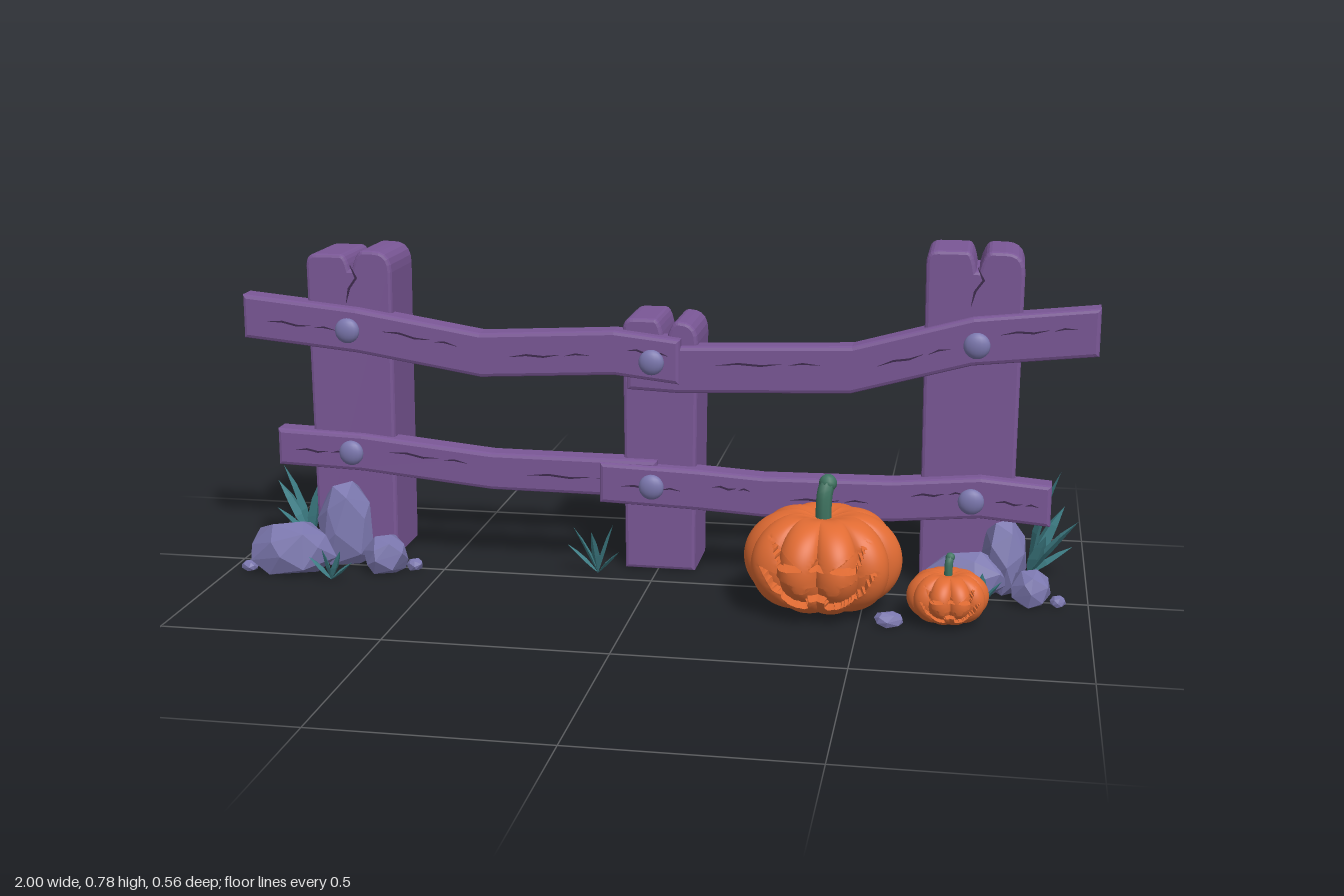
import * as THREE from 'three';
import { toCreasedNormals } from 'three/addons/utils/BufferGeometryUtils.js';
import { ConvexGeometry } from 'three/addons/geometries/ConvexGeometry.js';

const mat = (name, color) => {
  const m = new THREE.MeshStandardMaterial({ color });
  m.name = name;
  return m;
};
const wood = mat('purple wood', 0x7a5796);
const crackDark = mat('dark crack', 0x3d2a4d);
const stone = mat('blue violet stone', 0x7b77ae);
const orange = mat('pumpkin orange', 0xe06b33);
const leafTeal = mat('leaf teal', 0x3d7c84);
const stemGreen = mat('stem green', 0x3f7461);

function mesh(parent, name, geo, material, x = 0, y = 0, z = 0) {
  const m = new THREE.Mesh(geo, material);
  m.name = name;
  m.position.set(x, y, z);
  parent.add(m);
  return m;
}

const flat = (geo) => {
  const g = geo.index ? geo.toNonIndexed() : geo;
  g.computeVertexNormals();
  return g;
};

// Solid with softened edges from an outline in x/y, spanning z0 to z1
function slab(shape, z0, z1, b = 0.009) {
  return new THREE.ExtrudeGeometry(shape, {
    depth: z1 - z0 - 2 * b, bevelEnabled: true, bevelThickness: b, bevelSize: b,
    bevelOffset: -b, bevelSegments: 2, curveSegments: 5,
  }).translate(0, 0, z0 + b);
}

// Outline of a band of given height around a centre line
function band(pts, height) {
  const h = height / 2;
  const top = pts.map(([x, y]) => new THREE.Vector2(x, y + h));
  const bottom = pts.map(([x, y]) => new THREE.Vector2(x, y - h)).reverse();
  return new THREE.Shape([...bottom, ...top].reverse());
}

// Thin jagged crack, tapering to a point at each end
function crack(parent, pts, w, z, vertical = false) {
  const side = (s) => pts.map(([x, y], i) => {
    const k = i === 0 || i === pts.length - 1 ? 0.1 * w * s : w * s;
    return new THREE.Vector2(x + (vertical ? k : 0), y + (vertical ? 0 : k));
  });
  const shape = new THREE.Shape([...side(1), ...side(-1).reverse()]);
  mesh(parent, 'crack', new THREE.ExtrudeGeometry(shape, { depth: 0.003, bevelEnabled: false }), crackDark, 0, 0, z);
}

// Post with rounded shoulders and a split top
function post(parent, name, l, r, notch, hl, hr) {
  const s = new THREE.Shape();
  s.moveTo(l + 0.006, 0);
  s.lineTo(r - 0.004, 0);
  s.lineTo(r, hr - 0.05);
  s.quadraticCurveTo(r, hr, r - 0.045, hr);
  s.lineTo(notch + 0.03, hr);
  s.quadraticCurveTo(notch + 0.014, hr, notch + 0.003, hr - 0.045);
  s.lineTo(notch - 0.003, hr - 0.045);
  s.quadraticCurveTo(notch - 0.01, hl, notch - 0.025, hl);
  s.lineTo(l + 0.025, hl);
  s.quadraticCurveTo(l, hl, l, hl - 0.03);
  mesh(parent, name, slab(s, -0.27, -0.092, 0.008), wood);
  const y = hr - 0.035;
  crack(parent, [[notch, y], [notch + 0.014, y - 0.03], [notch - 0.004, y - 0.055], [notch - 0.012, y - 0.09]], 0.003, -0.093, true);
}

// Rail with a broken grain line along its front
function rail(parent, name, pts, height, z0, z1) {
  mesh(parent, name, slab(band(pts, height), z0, z1), wood);
  for (let i = 0; i < pts.length - 1; i++) {
    const [a, b] = [pts[i], pts[i + 1]];
    const at = (t, o) => [a[0] + (b[0] - a[0]) * t, a[1] + (b[1] - a[1]) * t + o];
    const o = i % 2 ? 0.012 : -0.004;
    crack(parent, [at(0.22, o), at(0.35, o + 0.004), at(0.48, o - 0.001), at(0.6, o + 0.003)], 0.0022, z1 - 0.001);
    crack(parent, [at(0.64, o), at(0.72, o + 0.004), at(0.82, o)], 0.002, z1 - 0.001);
  }
}

// Chunky faceted rock standing on the ground
function makeRock(seed) {
  let s = seed * 7919 + 13;
  const rnd = () => (s = (s * 16807) % 2147483647) / 2147483647;
  const pts = [], n = 24;
  for (let i = 0; i < n; i++) {
    const y = 1 - (2 * i + 1) / n, q = Math.sqrt(1 - y * y), a = i * 2.39996 + rnd() * 0.5;
    const k = 0.93 + rnd() * 0.14;
    pts.push(new THREE.Vector3(Math.cos(a) * q * k, Math.max(0, (y + 0.6) / 1.56), Math.sin(a) * q * k));
  }
  return new ConvexGeometry(pts);
}

// Pointed leaf, one unit long, bending forward
const leafGeo = (() => {
  const profile = [[0, 0], [0.55, 0.15], [1, 0.42], [0.7, 0.72], [0, 1]].map((p) => new THREE.Vector2(...p));
  return new THREE.LatheGeometry(profile, 4);
})();
function clump(parent, name, x, z, leaves) {
  const g = new THREE.Group();
  g.name = name;
  g.position.set(x, 0, z);
  for (const [az, tilt, len, w] of leaves) {
    const geo = leafGeo.clone().scale(w, len, w * 0.35);
    const p = geo.attributes.position;
    for (let i = 0; i < p.count; i++) p.setZ(i, p.getZ(i) + 0.9 * p.getY(i) ** 2);
    mesh(g, 'leaf', flat(geo), leafTeal).rotation.set(tilt, az, 0, 'YXZ');
  }
  parent.add(g);
}

// Carved face outlines, as fractions of pumpkin radius and height
const H = 1.31;
const eye = [[-0.6, 0.8], [-0.15, 0.57], [-0.48, 0.54]];
const mouthHalf = [[0, 0.41], [0.12, 0.41], [0.14, 0.34], [0.28, 0.35], [0.3, 0.43], [0.42, 0.45], [0.74, 0.55],
  [0.56, 0.3], [0.3, 0.19], [0.1, 0.16], [0.1, 0.25], [0, 0.25]];
const flip = (pts) => pts.map(([x, y]) => [-x, y]).reverse();
const carvings = [eye, flip(eye), [[0, 0.68], [0.1, 0.56], [-0.1, 0.56]], [...mouthHalf, ...flip(mouthHalf)]]
  .map((poly) => poly.map(([x, y]) => [x, y * H]));

// Nearest outline point, its distance, and whether the point is inside
function probe(poly, x, y) {
  let best = { d: Infinity }, inside = false;
  poly.forEach(([ax, ay], i) => {
    const [bx, by] = poly[(i + 1) % poly.length], dx = bx - ax, dy = by - ay;
    const t = Math.min(1, Math.max(0, ((x - ax) * dx + (y - ay) * dy) / (dx * dx + dy * dy || 1)));
    const px = ax + t * dx, py = ay + t * dy, d = Math.hypot(x - px, y - py);
    if (d < best.d) best = { d, px, py };
    if ((ay > y) !== (by > y) && x < ax + ((y - ay) / dy) * dx) inside = !inside;
  });
  return { ...best, inside };
}

// Ribbed pumpkin of unit radius with its face sunk into the front
function pumpkinGeometry() {
  const geo = new THREE.SphereGeometry(1, 180, 80), p = geo.attributes.position;
  for (let i = 0; i < p.count; i++) {
    const a = Math.atan2(p.getZ(i), p.getX(i)), c = p.getY(i);
    const s = Math.pow(Math.max(0, 1 - c * c), 0.38);
    const r = s * (0.85 + 0.15 * Math.pow(Math.abs(Math.cos(5 * a)), 0.75));
    let x = r * Math.cos(a), z = r * Math.sin(a);
    let y = (H / 2) * (1 + c) - Math.sign(c) * 0.14 * Math.exp(-((s / 0.35) ** 2));
    if (z > 0.2) for (const poly of carvings) {
      const hit = probe(poly, x, y);
      if (hit.d < 0.016) [x, y] = [hit.px, hit.py];
      else if (hit.inside) z -= 0.2;
    }
    p.setXYZ(i, x, y, z);
  }
  return toCreasedNormals(geo, 0.6);
}

function pumpkin(parent, name, geo, radius, x, z, turn) {
  const g = new THREE.Group();
  g.name = name;
  g.position.set(x, 0, z);
  g.rotation.y = turn;
  g.scale.setScalar(radius);
  mesh(g, 'carvedShell', geo, orange);
  const path = new THREE.CatmullRomCurve3([[0, 1.1, 0], [0, 1.35, 0], [0.01, 1.5, -0.02], [0.04, 1.62, -0.08]]
    .map((q) => new THREE.Vector3(...q)));
  mesh(g, 'stem', new THREE.TubeGeometry(path, 10, 0.1, 8), stemGreen);
  mesh(g, 'stemTip', new THREE.SphereGeometry(0.115, 10, 8), stemGreen, 0.04, 1.61, -0.08);
  parent.add(g);
}

export function createModel() {
  const root = new THREE.Group();
  root.name = 'pumpkinFence';

  // Fence
  post(root, 'rightPost', -0.85, -0.64, -0.74, 0.735, 0.745);
  post(root, 'middlePost', -0.085, 0.092, 0.015, 0.605, 0.6);
  post(root, 'leftPost', 0.61, 0.83, 0.725, 0.782, 0.782);
  rail(root, 'upperRightRail', [[-1, 0.585], [-0.72, 0.558], [-0.42, 0.51], [-0.1, 0.527], [0.055, 0.51]], 0.105, -0.127, -0.06);
  rail(root, 'upperLeftRail', [[-0.07, 0.495], [0.05, 0.49], [0.45, 0.505], [0.72, 0.58], [1, 0.61]], 0.11, -0.135, -0.07);
  rail(root, 'lowerRightRail', [[-0.93, 0.265], [-0.72, 0.258], [-0.4, 0.227], [0, 0.225]], 0.09, -0.133, -0.07);
  rail(root, 'lowerLeftRail', [[-0.135, 0.215], [0.1, 0.207], [0.25, 0.198], [0.55, 0.202], [0.75, 0.22], [0.91, 0.207]], 0.097, -0.125, -0.06);

  // Bolts
  const bolt = new THREE.SphereGeometry(0.03, 16, 12).scale(1, 1, 0.55);
  for (const [x, y] of [[-0.74, 0.56], [-0.01, 0.51], [0.73, 0.575], [-0.74, 0.262], [-0.01, 0.212], [0.73, 0.213]])
    mesh(root, 'bolt', bolt, stone, x, y, -0.055);

  // Rocks: x, z, half width, height, half depth
  [[-0.855, 0.06, 0.105, 0.12, 0.07], [-0.75, -0.03, 0.072, 0.2, 0.06], [-0.635, 0.03, 0.053, 0.09, 0.052],
    [-0.57, 0.01, 0.02, 0.028, 0.02], [-0.955, 0.08, 0.02, 0.025, 0.02], [0.73, -0.045, 0.095, 0.1, 0.05],
    [0.81, -0.082, 0.055, 0.172, 0.062], [0.87, 0.01, 0.046, 0.082, 0.048], [0.932, 0.02, 0.018, 0.026, 0.017],
    [0.565, 0.215, 0.034, 0.032, 0.026]].forEach(([x, z, w, h, d], i) =>
    mesh(root, 'rock', makeRock(i + 1).scale(w, h, d), stone, x, 0, z));

  // Plants: azimuth, tilt, length, half width
  clump(root, 'rightPlant', -0.89, -0.175, [[-1.5, 0.15, 0.2, 0.026], [-1.75, 0.4, 0.17, 0.024], [-1.3, 0.65, 0.12, 0.022], [1.2, 0.05, 0.16, 0.024]]);
  clump(root, 'leftPlant', 0.87, -0.205, [[1.6, 0.02, 0.255, 0.028], [1.3, 0.5, 0.18, 0.028], [2.1, 0.35, 0.18, 0.028], [0.7, 0.35, 0.12, 0.024], [1.7, 0.85, 0.12, 0.022]]);
  clump(root, 'middlePlant', -0.135, -0.04, [[-1.6, 0.75, 0.1, 0.012], [-1.2, 0.35, 0.13, 0.013], [-0.4, 0.15, 0.11, 0.012], [1.3, 0.2, 0.13, 0.013], [1.2, 0.7, 0.085, 0.011]]);
  clump(root, 'frontRightPlant', -0.74, 0.12, [[-1.5, 0.7, 0.075, 0.014], [-0.9, 0.2, 0.08, 0.014], [1.2, 0.3, 0.08, 0.014], [1.5, 0.8, 0.07, 0.013]]);
  clump(root, 'frontLeftPlant', 0.76, 0.04, [[-1.5, 0.6, 0.075, 0.014], [0.2, 0.1, 0.08, 0.014], [1.4, 0.6, 0.075, 0.014]]);

  // Pumpkins
  const shell = pumpkinGeometry();
  pumpkin(root, 'largePumpkin', shell, 0.177, 0.41, 0.115, 0);
  pumpkin(root, 'smallPumpkin', shell, 0.09, 0.69, 0.165, 0.12);
  return root;
}
